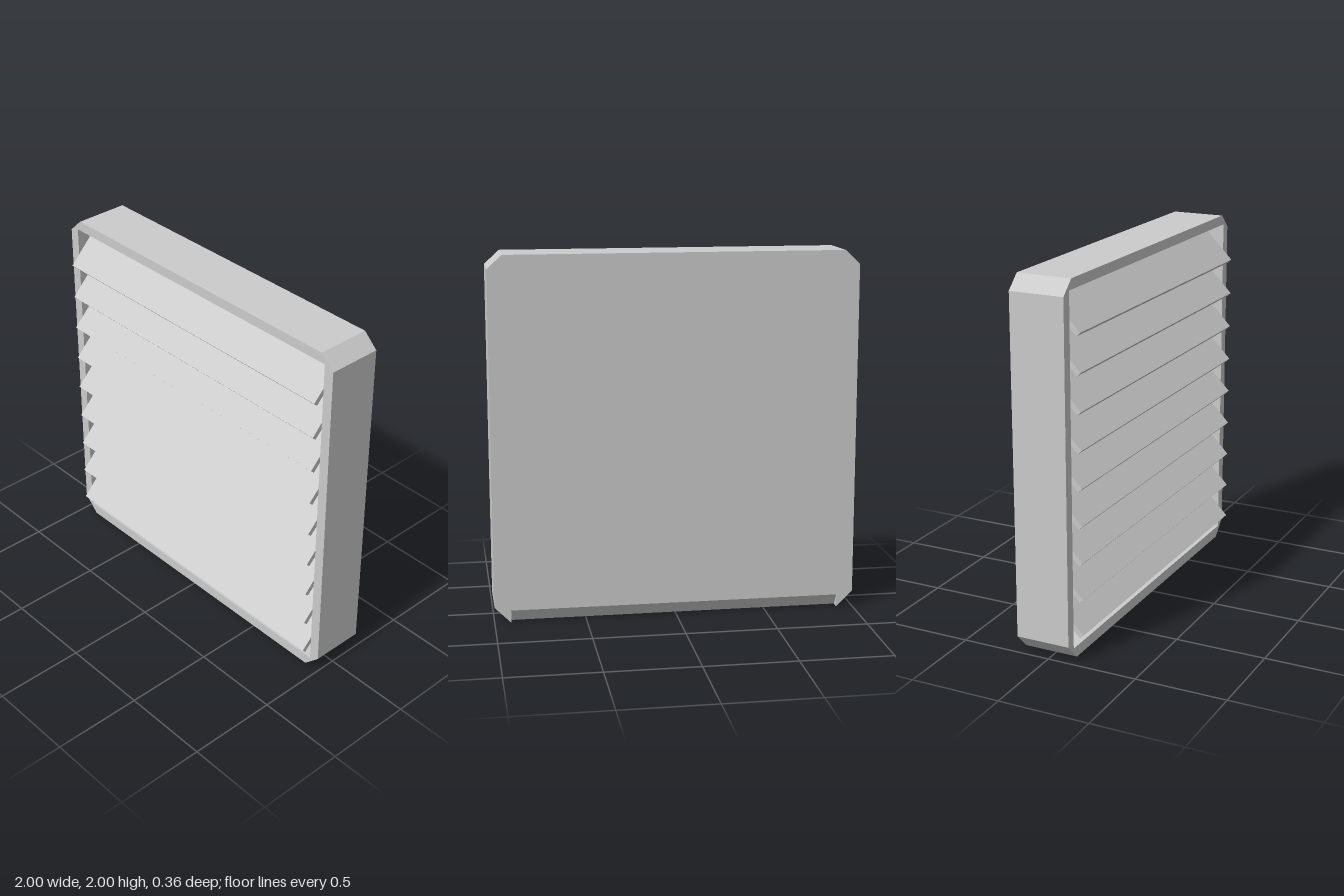
import * as THREE from 'three';

const material = new THREE.MeshStandardMaterial({ color: 0xcccccc, flatShading: true });
const toPoints = (pts) => pts.map(([x, y]) => new THREE.Vector2(x, y));

function addMesh(group, name, geometry) {
  const mesh = new THREE.Mesh(geometry, material);
  mesh.name = name;
  group.add(mesh);
  return mesh;
}

// Outline in x, y extruded from z0 to z1
function extrudeZ(shape, z0, z1) {
  return new THREE.ExtrudeGeometry(shape, { depth: z1 - z0, bevelEnabled: false }).translate(0, 0, z0);
}

// Profile in z, y extruded along x, centred
function extrudeX(profile, width) {
  return new THREE.ExtrudeGeometry(new THREE.Shape(toPoints(profile)), { depth: width, bevelEnabled: false })
    .rotateY(-Math.PI / 2)
    .translate(width / 2, 0, 0);
}

export function createModel() {
  const group = new THREE.Group();
  group.name = 'louverVent';
  const front = 0.12, inner = -0.12, back = -0.18;
  const notchX = 0.91, notchY = 0.07;

  const upper = [[1, 0.09], [1, 1.925], [0.92, 2], [-0.92, 2], [-1, 1.925], [-1, 0.09]];

  // Frame with cut corners around the rectangular opening
  const frameShape = new THREE.Shape(toPoints([[-notchX, 0], [notchX, 0], ...upper]));
  frameShape.holes.push(new THREE.Path(toPoints([[-0.943, 0.06], [-0.943, 1.945], [0.943, 1.945], [0.943, 0.06]])));
  addMesh(group, 'frame', extrudeZ(frameShape, inner, front));

  // Back panel, cut away along its lower edge
  const backShape = new THREE.Shape(toPoints([
    [-notchX, 0], [-notchX, notchY], [notchX, notchY], [notchX, 0], ...upper,
  ]));
  addMesh(group, 'backPanel', extrudeZ(backShape, back, inner));

  // Sloped strip in the cut of the back panel
  addMesh(group, 'lowerBackBevel', extrudeX(
    [[-0.13, 0], [inner, 0], [inner, notchY], [back, notchY]], 2 * notchX));

  // Nine slanted slats, each rising inward from its front tip
  const slat = extrudeX([[0.155, 0], [0.175, 0.02], [-0.015, 0.215], [-0.035, 0.195]], 1.876);
  for (let i = 0; i < 9; i++) {
    addMesh(group, `slat${i + 1}`, slat).position.y = 0.122 + i * 0.2;
  }
  return group;
}
